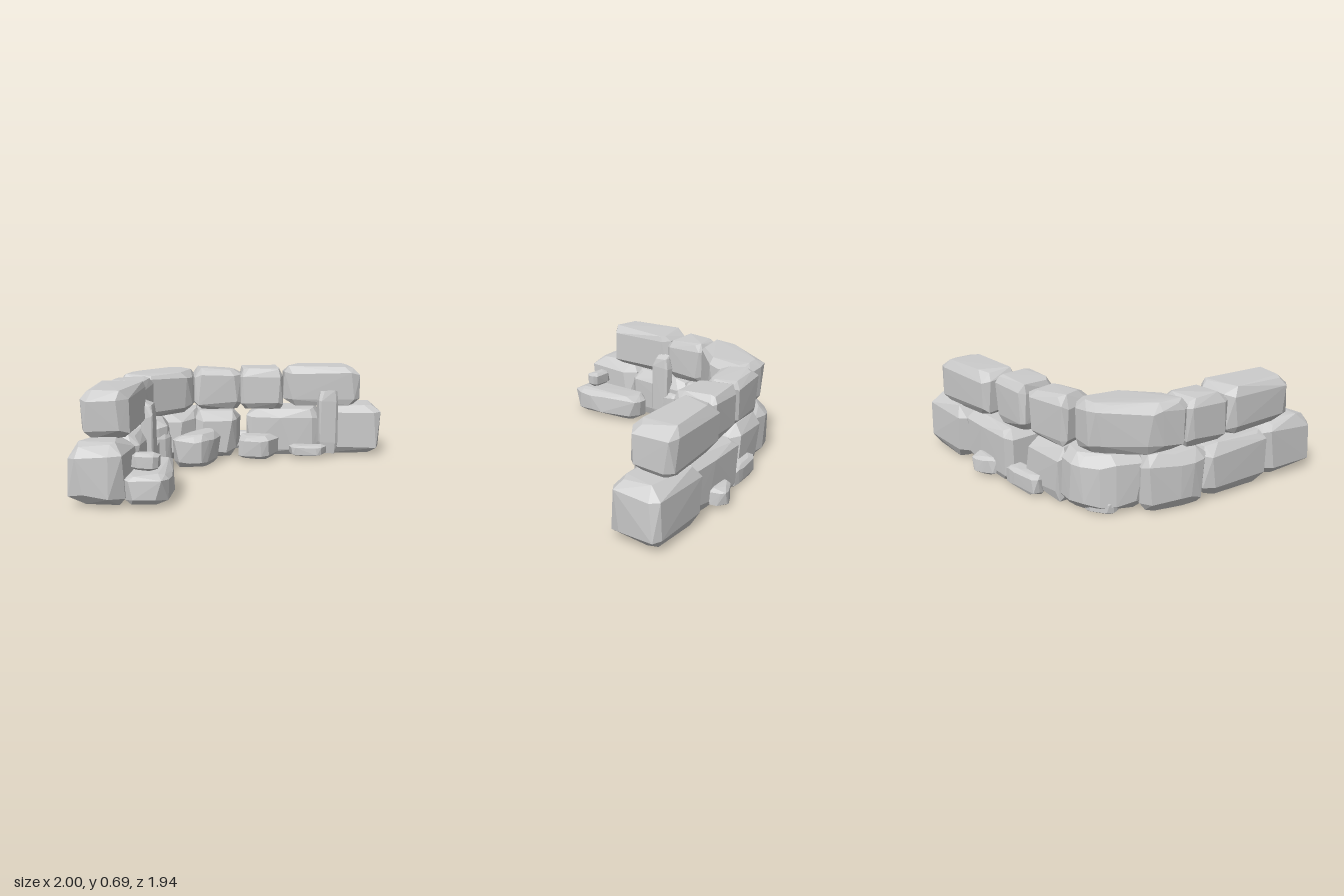
import * as THREE from 'three';
import { ConvexGeometry } from 'three/addons/geometries/ConvexGeometry.js';

// small seeded random generator
function seeded(seed) {
  let s = seed * 7919 + 17;
  return () => ((s = (s * 16807) % 2147483647) / 2147483647);
}

// Rough-hewn stone: a footprint of [x, z] corners, raised from y0 to y1,
// with cut corners, bevelled top and bottom, and small random dents
function stoneGeometry(corners, y0, y1, bevel, seed) {
  const rand = seeded(seed);
  for (let i = 0; i < 5; i++) rand();
  const n = corners.length, h = y1 - y0;
  const c = new THREE.Vector2();
  const pts = corners.map(([x, z]) => new THREE.Vector2(x, z));
  pts.forEach((p) => c.addScaledVector(p, 1 / n));
  const out = [];
  const levels = [[0, 1], [0.16, 0], [0.8, 0], [1, 1]];
  for (const [t, inset] of levels) {
    for (let i = 0; i < n; i++) {
      for (const j of [(i + n - 1) % n, (i + 1) % n]) {
        const edge = pts[j].clone().sub(pts[i]);
        const cut = Math.min(bevel * (0.4 + rand() * 0.9), edge.length() * 0.4);
        const p = pts[i].clone().addScaledVector(edge.normalize(), cut);
        const toMid = c.clone().sub(p);
        const pull = inset * bevel * (0.5 + rand() * 0.8) + rand() * bevel * 0.25;
        p.addScaledVector(toMid.normalize(), Math.min(pull, 0.5 * p.distanceTo(c)));
        const dent = rand() * 0.09 * h;
        const y = y0 + t * h + (t === 0 ? dent * 0.4 : t === 1 ? -dent : dent - 0.04 * h);
        out.push(new THREE.Vector3(p.x, y, p.y));
      }
    }
  }
  return new ConvexGeometry(out);
}

const box = (x0, x1, z0, z1) => [[x0, z0], [x1, z0], [x1, z1], [x0, z1]];

export function createModel() {
  const model = new THREE.Group();
  model.name = 'ruinedStoneWall';
  const material = new THREE.MeshStandardMaterial({ color: 0xcccccc, flatShading: true });
  let seed = 1;

  function course(name, stones) {
    const group = new THREE.Group();
    group.name = name;
    stones.forEach(([label, corners, y0, y1, bevel]) => {
      const mesh = new THREE.Mesh(stoneGeometry(corners, y0, y1, bevel, seed++), material);
      mesh.name = label;
      group.add(mesh);
    });
    model.add(group);
  }

  // lower row of large blocks, following the bend
  course('lowerCourse', [
    ['endBlock', box(-0.99, -0.635, 0.5, 0.975), 0.01, 0.4, 0.08],
    ['sideBlock', box(-1, -0.64, -0.01, 0.53), 0.01, 0.37, 0.06],
    ['bendBlock', [[-0.92, -0.45], [-0.62, -0.36], [-0.54, -0.06], [-0.64, 0.03], [-0.99, 0.03], [-1, -0.18]], 0, 0.38, 0.06],
    ['cornerBlock', [[-0.8, -0.62], [-0.63, -0.76], [-0.4, -0.74], [-0.38, -0.46], [-0.55, -0.25], [-0.86, -0.36]], 0, 0.38, 0.06],
    ['innerBlock', [[-0.52, -0.77], [-0.11, -0.81], [-0.11, -0.42], [-0.42, -0.36]], 0, 0.37, 0.06],
    ['middleBlock', [[-0.05, -0.88], [0.3, -0.9], [0.53, -0.9], [0.53, -0.56], [0.26, -0.54], [-0.05, -0.55]], 0, 0.375, 0.05],
    ['farEndBlock', [[0.46, -0.96], [0.98, -0.98], [1, -0.64], [0.5, -0.6]], 0.01, 0.4, 0.07],
  ]);

  // upper row of blocks
  course('upperCourse', [
    ['frontCapBlock', box(-0.97, -0.65, 0.18, 0.745), 0.38, 0.695, 0.06],
    ['smallCapBlock', box(-0.95, -0.67, -0.13, 0.21), 0.36, 0.68, 0.04],
    ['bendCapBlock', [[-0.92, -0.34], [-0.7, -0.67], [-0.46, -0.66], [-0.43, -0.37], [-0.73, -0.08], [-0.94, -0.1]], 0.36, 0.695, 0.06],
    ['innerCapBlock', [[-0.52, -0.73], [-0.12, -0.79], [-0.08, -0.55], [-0.43, -0.46]], 0.36, 0.685, 0.05],
    ['middleCapBlock', [[-0.13, -0.8], [0.2, -0.83], [0.25, -0.53], [-0.09, -0.53]], 0.36, 0.69, 0.04],
    ['longCapBlock', [[0.2, -0.89], [0.8, -0.95], [0.84, -0.64], [0.24, -0.61]], 0.38, 0.695, 0.06],
  ]);

  // upright slabs leaning on the inner face
  course('uprightSlabs', [
    ['rightSlab', [[0.49, -0.61], [0.66, -0.63], [0.67, -0.56], [0.52, -0.53]], 0.02, 0.525, 0.02],
    ['leftSlab', box(-0.685, -0.6, 0.13, 0.28), 0.03, 0.56, 0.02],
  ]);

  // fallen stones along the inner foot of the wall
  course('innerRubble', [
    ['longStone', [[-0.65, 0.33], [-0.46, 0.3], [-0.37, 0.68], [-0.38, 0.91], [-0.65, 0.93]], 0.02, 0.21, 0.06],
    ['topPebble', [[-0.63, 0.72], [-0.44, 0.73], [-0.45, 0.84], [-0.62, 0.83]], 0.215, 0.325, 0.035],
    ['cornerStone', [[-0.49, -0.4], [-0.3, -0.45], [-0.21, -0.36], [-0.25, -0.17], [-0.34, -0.05], [-0.56, -0.08]], 0, 0.245, 0.06],
    ['bendStone', [[-0.7, -0.16], [-0.55, -0.14], [-0.54, -0.03], [-0.7, 0.05]], 0, 0.3, 0.04],
    ['sidePebble', box(-0.7, -0.6, 0.04, 0.2), 0.08, 0.26, 0.04],
    ['middleStone', [[-0.11, -0.55], [0.22, -0.55], [0.14, -0.33], [-0.09, -0.35]], 0.01, 0.185, 0.05],
    ['flatStone', [[0.28, -0.56], [0.59, -0.57], [0.53, -0.44], [0.32, -0.43]], 0.02, 0.105, 0.035],
  ]);

  // fallen stones along the outer foot of the wall
  course('outerRubble', [
    ['backPebble', [[0.09, -0.9], [0.2, -0.98], [0.29, -0.98], [0.34, -0.86], [0.12, -0.84]], 0.01, 0.14, 0.04],
    ['backStone', [[-0.33, -0.84], [-0.08, -0.88], [0.02, -0.87], [0.02, -0.75], [-0.32, -0.74]], 0, 0.14, 0.04],
    ['cornerPebble', [[-0.81, -0.59], [-0.68, -0.69], [-0.58, -0.66], [-0.7, -0.5], [-0.79, -0.52]], 0, 0.09, 0.03],
  ]);

  return model;
}
